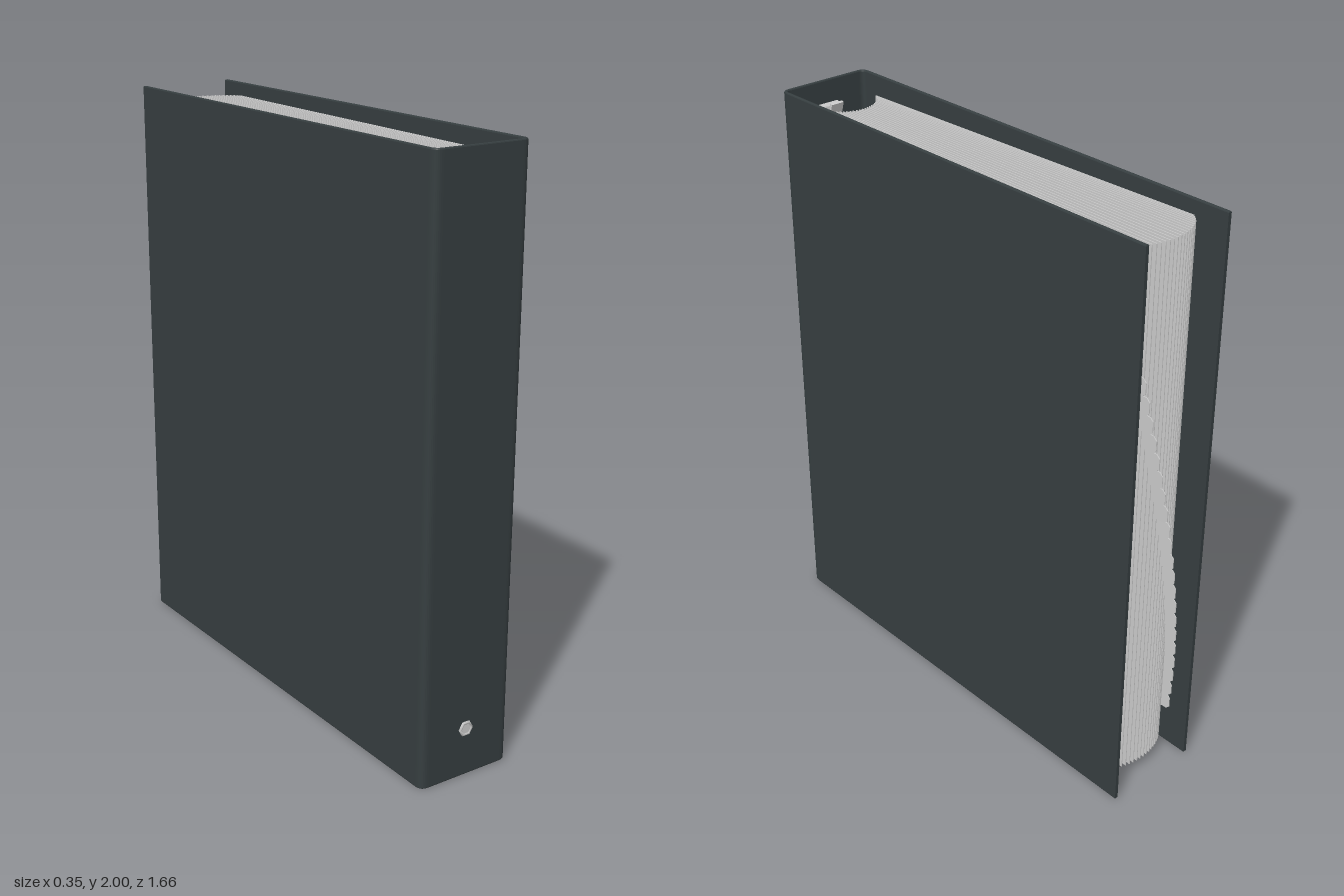
import * as THREE from 'three';

const DARK = new THREE.MeshStandardMaterial({ color: 0x363e40 });
const GREY = new THREE.MeshStandardMaterial({ color: 0xcccccc });

function part(name, geometry, material, x = 0, y = 0, z = 0) {
  const mesh = new THREE.Mesh(geometry, material);
  mesh.name = name;
  mesh.position.set(x, y, z);
  return mesh;
}

// U-shaped cover, open at the back, with rounded folds beside the spine
function cover() {
  const w = 0.174, t = 0.012, front = 0.828, back = -0.83, r = 0.03;
  const s = new THREE.Shape();
  s.moveTo(-w, -back);
  s.lineTo(-w, -front + r);
  s.quadraticCurveTo(-w, -front, -w + r, -front);
  s.lineTo(w - r, -front);
  s.quadraticCurveTo(w, -front, w, -front + r);
  s.lineTo(w, -back);
  s.lineTo(w - t, -back);
  s.lineTo(w - t, -front + r);
  s.quadraticCurveTo(w - t, -front + t, w - r, -front + t);
  s.lineTo(-w + r, -front + t);
  s.quadraticCurveTo(-w + t, -front + t, -w + t, -front + r);
  s.lineTo(-w + t, -back);
  s.closePath();
  const b = 0.004;
  const geo = new THREE.ExtrudeGeometry(s, {
    depth: 2 - 2 * b, bevelEnabled: true, bevelThickness: b, bevelSize: b,
    bevelOffset: -b, bevelSegments: 2, curveSegments: 8,
  });
  geo.rotateX(-Math.PI / 2);
  return part('cover', geo, DARK, 0, b, 0);
}

const RINGS = { z: 0.7, radius: 0.12, heights: [0.26, 1, 1.74] };

// One divider sheet with punched holes and an index tab on its free edge
function sheetGeometry(tabTop) {
  const length = 1.395, bottom = 0.045, top = 1.955, tab = 0.045, tabHeight = 0.06, c = 0.012;
  const s = new THREE.Shape();
  s.moveTo(0, bottom);
  s.lineTo(length, bottom);
  s.lineTo(length, tabTop - tabHeight);
  s.lineTo(length + tab - c, tabTop - tabHeight);
  s.lineTo(length + tab, tabTop - tabHeight + c);
  s.lineTo(length + tab, tabTop - c);
  s.lineTo(length + tab - c, tabTop);
  s.lineTo(length, tabTop);
  s.lineTo(length, top);
  s.lineTo(0, top);
  s.closePath();
  for (const y of RINGS.heights) {
    const hole = new THREE.Path();
    hole.absarc(0.03, y, 0.013, 0, Math.PI * 2, true);
    s.holes.push(hole);
  }
  const geo = new THREE.ExtrudeGeometry(s, { depth: 0.003, bevelEnabled: false, curveSegments: 6 });
  geo.translate(0, 0, -0.0015);
  return geo.rotateY(Math.PI / 2);
}

// Sheets sit evenly along the ring arc and fan out towards the back
function sheets() {
  const group = new THREE.Group();
  group.name = 'sheets';
  const count = 26;
  for (let i = 0; i < count; i++) {
    const f = i / (count - 1);
    const angle = (1 - 2 * f) * 1.16;
    const x = RINGS.radius * Math.sin(angle);
    const z = RINGS.z - RINGS.radius * Math.cos(angle) + 0.03;
    const sheet = part('dividerSheet', sheetGeometry(1.89 - f * 1.68), GREY, x, 0, z);
    sheet.rotation.y = -Math.atan(0.045 / 1.44) * x / 0.11;
    group.add(sheet);
  }
  return group;
}

// Domed metal rail on the inside of the spine, with rings and end levers
function mechanism() {
  const group = new THREE.Group();
  group.name = 'ringMechanism';
  const dome = new THREE.Shape();
  dome.absellipse(0, 0, 0.045, 0.036, 0, Math.PI);
  dome.closePath();
  const rail = new THREE.ExtrudeGeometry(dome, { depth: 1.84, bevelEnabled: false, curveSegments: 16 });
  rail.rotateX(-Math.PI / 2);
  group.add(part('rail', rail, GREY, 0, 0.08, 0.815));

  const ring = new THREE.TorusGeometry(RINGS.radius, 0.007, 10, 48).rotateX(Math.PI / 2);
  for (const y of RINGS.heights) group.add(part('ring', ring, GREY, 0, y, RINGS.z));

  for (const side of [-1, 1]) {
    const lever = part('lever', new THREE.BoxGeometry(0.05, 0.075, 0.01), GREY, 0, 1 + side * 0.9, 0.766);
    lever.rotation.x = -side * 0.3;
    group.add(lever);
  }
  return group;
}

// Hexagonal eyelet near the foot of the spine
function eyelet() {
  const group = new THREE.Group();
  group.name = 'spineEyelet';
  const rim = new THREE.TorusGeometry(0.022, 0.006, 6, 6);
  const disc = new THREE.CylinderGeometry(0.022, 0.022, 0.006, 6).rotateX(Math.PI / 2).rotateZ(Math.PI / 6);
  group.add(part('eyeletRim', rim, GREY, 0, 0.165, 0.828));
  group.add(part('eyeletCentre', disc, GREY, 0, 0.165, 0.828));
  return group;
}

export function createModel() {
  const model = new THREE.Group();
  model.name = 'ringBinder';
  model.add(cover(), sheets(), mechanism(), eyelet());
  return model;
}
